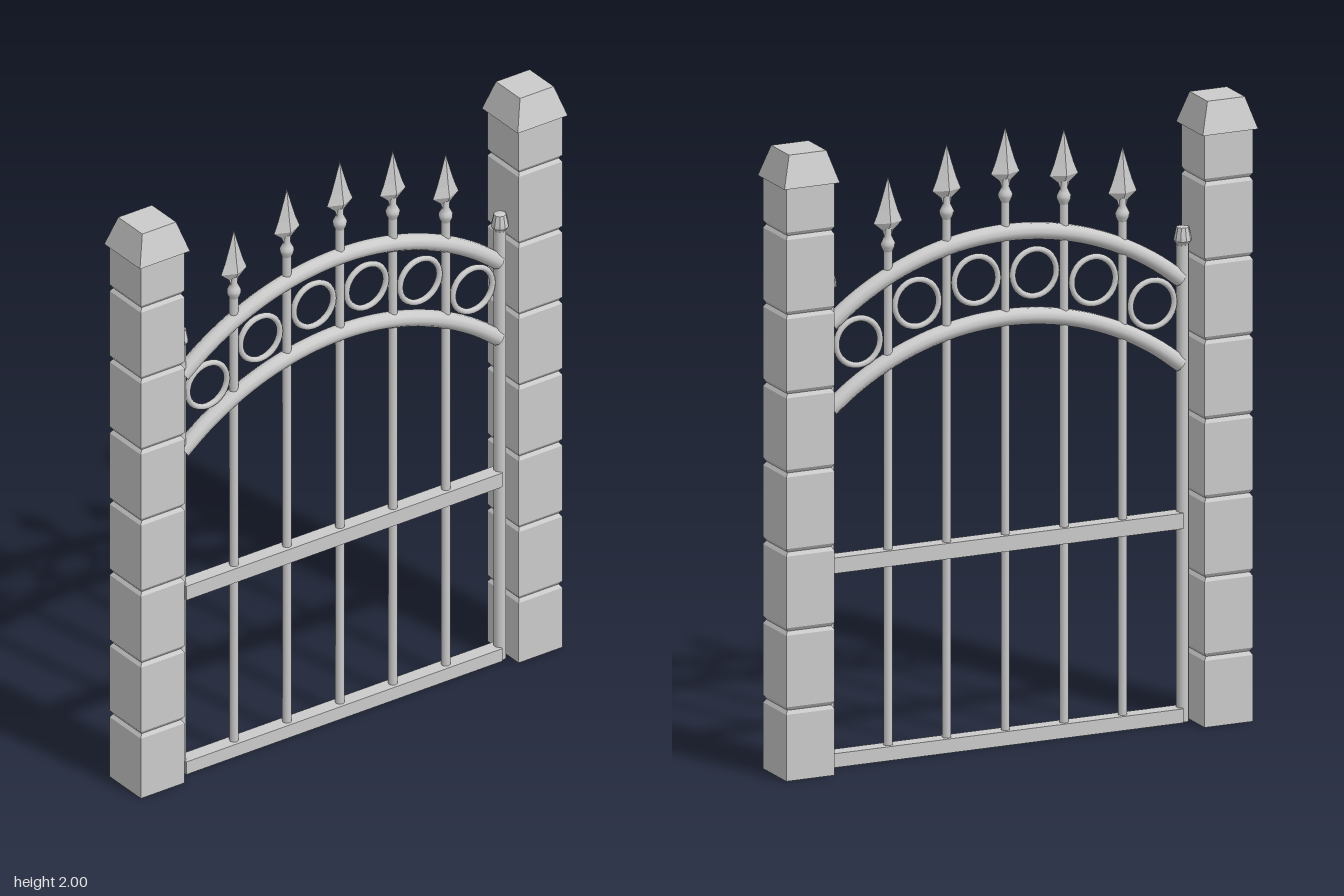
import * as THREE from 'three';

const flat = new THREE.MeshStandardMaterial({ color: 0xcccccc, flatShading: true, side: THREE.DoubleSide });
const smooth = new THREE.MeshStandardMaterial({ color: 0xcccccc });

function add(parent, name, geometry, material, x = 0, y = 0, z = 0) {
  const mesh = new THREE.Mesh(geometry, material);
  mesh.name = name;
  mesh.position.set(x, y, z);
  parent.add(mesh);
  return mesh;
}

const lathe = (points, sides) =>
  new THREE.LatheGeometry(points.map(([r, y]) => new THREE.Vector2(r, y)), sides);

// Square tower: a four-sided lathe whose radii are half widths
const square = (points) =>
  lathe(points.map(([h, y]) => [h * Math.SQRT2, y]), 4).rotateY(Math.PI / 4);

// Both arches share this curve
const SPAN = 0.6, RISE = 0.22;
const R = (SPAN * SPAN + RISE * RISE) / (2 * RISE);
const archY = (x, crown) => crown - R + Math.sqrt(R * R - x * x);

function arch(crown) {
  const points = [];
  for (let i = 0; i <= 16; i++) {
    const x = -SPAN + (2 * SPAN * i) / 16;
    points.push(new THREE.Vector3(x, archY(x, crown), 0));
  }
  return new THREE.TubeGeometry(new THREE.CatmullRomCurve3(points), 40, 0.027, 10, false);
}

export function createModel() {
  const model = new THREE.Group();
  model.name = 'gardenGate';

  // Block pillars with V-grooved joints, open underneath
  const half = 0.083;
  const profile = [[half, 0]];
  for (let i = 0; i < 7; i++) {
    const y = 0.225 + i * 0.2535;
    profile.push([half, y - 0.012], [half - 0.008, y], [half, y + 0.012]);
  }
  profile.push([half, 1.9]);
  const pillar = square(profile);
  const cap = square([[0, 1.9], [0.095, 1.9], [0.064, 2], [0, 2]]);

  const gate = new THREE.Group();
  gate.name = 'gate';
  gate.position.z = 0.02;
  model.add(gate);

  // Hinge posts and their tapered finials
  const finial = lathe([[0.018, 1.515], [0.021, 1.53], [0.028, 1.54], [0.027, 1.55], [0.02, 1.583], [0, 1.587]], 10);
  for (const side of [-1, 1]) {
    add(model, 'pillar', pillar, flat, side * 0.717);
    add(model, 'pillarCap', cap, flat, side * 0.717);
    add(gate, 'hingePost', new THREE.CylinderGeometry(0.02, 0.02, 1.53, 10), smooth, side * 0.608, 0.765);
    add(gate, 'postFinial', finial, flat, side * 0.608);
  }

  // Rails and arches
  add(gate, 'bottomRail', new THREE.BoxGeometry(1.2, 0.045, 0.05), flat, 0, 0.0225);
  add(gate, 'middleRail', new THREE.BoxGeometry(1.2, 0.05, 0.05), flat, 0, 0.647);
  add(gate, 'upperArch', arch(1.637), smooth);
  add(gate, 'lowerArch', arch(1.365), smooth);

  // Flattened four-sided spearhead, measured down from its tip
  const spear = lathe([[0.012, -0.195], [0.018, -0.172], [0.049, -0.146], [0.034, -0.11], [0.018, -0.06], [0, 0]], 4)
    .rotateY(Math.PI / 2).scale(1, 1, 0.43);
  const collar = lathe([[0.014, -0.24], [0.022, -0.223], [0.023, -0.213], [0.018, -0.203], [0.012, -0.19], [0.012, -0.16]], 10);
  const tips = [1.975, 1.945, 1.865];
  for (let i = -2; i <= 2; i++) {
    const x = i * 0.201, tip = tips[Math.abs(i)];
    const height = tip - 0.225;
    add(gate, 'bar', new THREE.CylinderGeometry(0.0145, 0.0145, height, 8), smooth, x, height / 2);
    add(gate, 'barCollar', collar, smooth, x, tip);
    add(gate, 'spearhead', spear, flat, x, tip);
  }

  // Rings between the arches
  const ring = new THREE.TorusGeometry(0.075, 0.01, 8, 28);
  for (const [x, y] of [[0.1, 1.497], [0.303, 1.448], [0.504, 1.348]]) {
    for (const side of [-1, 1]) add(gate, 'ring', ring, smooth, side * x, y);
  }

  return model;
}
